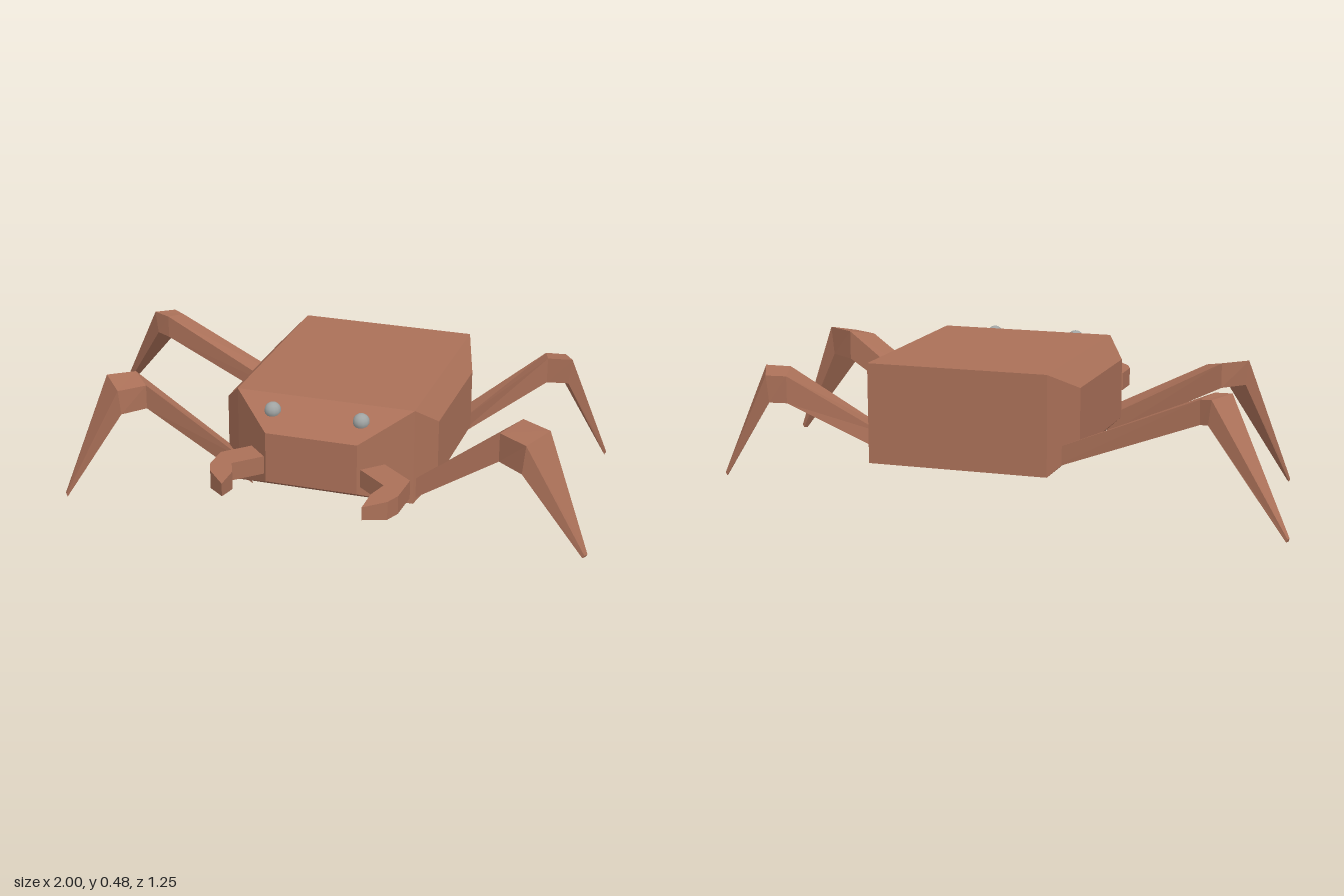
import * as THREE from 'three';
import { ConvexGeometry } from 'three/addons/geometries/ConvexGeometry.js';

const shell = new THREE.MeshStandardMaterial({ color: 0xaa7058, flatShading: true });
shell.name = 'brown shell';
const eyeGrey = new THREE.MeshStandardMaterial({ color: 0xa0a4a3 });
eyeGrey.name = 'eye grey';

function addMesh(group, name, geometry, material) {
  const mesh = new THREE.Mesh(geometry, material);
  mesh.name = name;
  group.add(mesh);
  return mesh;
}

// Box with raised, bevelled panels on the front and both sides
function bodyGeometry() {
  const pts = [];
  const add = (xs, ys, zs) => {
    for (const x of xs) for (const y of ys) for (const z of zs) pts.push(new THREE.Vector3(x, y, z));
  };
  add([-0.2, 0.41], [0.15, 0.483], [-0.51, 0.22]);
  add([-0.05, 0.262], [0.232, 0.405], [0.372]);
  add([0.467], [0.21, 0.415], [-0.325, 0.125]);
  add([-0.265], [0.21, 0.415], [-0.36, 0.14]);
  return new ConvexGeometry(pts);
}

// Loft through four-sided sections: [ax, ay, az, bx, by, bz, dropX, dropY],
// where a and b are the top corners and the drop leads to the bottom corners
function legGeometry(sections) {
  const pos = [];
  const index = [];
  for (const [ax, ay, az, bx, by, bz, dx, dy] of sections) {
    pos.push(ax, ay, az, bx, by, bz, bx + dx, by + dy, bz, ax + dx, ay + dy, az);
  }
  for (let i = 0; i < sections.length - 1; i++) {
    for (let j = 0; j < 4; j++) {
      const p = i * 4 + j;
      const q = i * 4 + ((j + 1) % 4);
      index.push(p, p + 4, q + 4, p, q + 4, q);
    }
  }
  const e = (sections.length - 1) * 4;
  index.push(e + 3, e + 2, e + 1, e + 3, e + 1, e);
  const geo = new THREE.BufferGeometry();
  geo.setAttribute('position', new THREE.Float32BufferAttribute(pos, 3));
  geo.setIndex(index);
  const flat = geo.toNonIndexed();
  flat.computeVertexNormals();
  return flat;
}

// Each leg: root, two knee sections and a pointed foot
const legs = {
  frontLeftLeg: [
    [0.39, 0.22, 0.21, 0.435, 0.22, 0.125, -0.03, -0.085],
    [0.69, 0.44, 0.21, 0.745, 0.46, 0.12, 0, -0.1],
    [0.79, 0.437, 0.275, 0.848, 0.46, 0.185, -0.01, -0.1],
    [0.992, 0.068, 0.25, 1.0, 0.07, 0.24, -0.006, -0.01],
  ],
  frontRightLeg: [
    [-0.235, 0.22, 0.14, -0.185, 0.22, 0.21, 0.03, -0.085],
    [-0.63, 0.435, 0.08, -0.565, 0.415, 0.145, 0, -0.085],
    [-0.71, 0.437, 0.145, -0.64, 0.412, 0.215, 0.01, -0.085],
    [-0.845, 0.01, 0.242, -0.838, 0.01, 0.252, 0.004, -0.01],
  ],
  backLeftLeg: [
    [0.435, 0.23, -0.325, 0.405, 0.23, -0.41, -0.02, -0.07],
    [0.705, 0.445, -0.46, 0.68, 0.43, -0.55, 0, -0.09],
    [0.79, 0.447, -0.47, 0.75, 0.43, -0.558, -0.01, -0.09],
    [0.92, 0.085, -0.53, 0.918, 0.085, -0.54, -0.006, -0.01],
  ],
  backRightLeg: [
    [-0.205, 0.23, -0.44, -0.235, 0.23, -0.365, 0.02, -0.07],
    [-0.69, 0.435, -0.5, -0.72, 0.445, -0.43, 0, -0.08],
    [-0.73, 0.44, -0.52, -0.78, 0.45, -0.45, 0.01, -0.08],
    [-0.995, 0.055, -0.632, -1.0, 0.055, -0.622, 0.004, -0.01],
  ],
};

// Flat curved pincers, outlined from above as x, z
const claws = {
  leftClaw: [[0.3, 0.27], [0.445, 0.39], [0.44, 0.51], [0.42, 0.56], [0.355, 0.622],
    [0.355, 0.525], [0.375, 0.45], [0.25, 0.345]],
  rightClaw: [[-0.1, 0.27], [-0.205, 0.375], [-0.205, 0.47], [-0.185, 0.52], [-0.115, 0.6],
    [-0.115, 0.505], [-0.14, 0.445], [-0.04, 0.345]],
};

function clawGeometry(outline) {
  const shape = new THREE.Shape(outline.map(([x, z]) => new THREE.Vector2(x, z)));
  const geo = new THREE.ExtrudeGeometry(shape, { depth: 0.062, bevelEnabled: false });
  geo.rotateX(Math.PI / 2);
  geo.translate(0, 0.317, 0);
  // Thin the underside towards the tip
  const p = geo.attributes.position;
  for (let i = 0; i < p.count; i++) {
    if (p.getZ(i) > 0.58 && p.getY(i) < 0.28) p.setY(i, 0.273);
  }
  geo.computeVertexNormals();
  return geo;
}

export function createModel() {
  const model = new THREE.Group();
  model.name = 'crab';
  addMesh(model, 'body', bodyGeometry(), shell);
  for (const [name, sections] of Object.entries(legs)) addMesh(model, name, legGeometry(sections), shell);
  for (const [name, outline] of Object.entries(claws)) addMesh(model, name, clawGeometry(outline), shell);

  // Bead eyes on the sloping brow
  for (const [name, x] of [['leftEye', 0.25], ['rightEye', -0.053]]) {
    addMesh(model, name, new THREE.SphereGeometry(0.028, 12, 8), eyeGrey).position.set(x, 0.452, 0.287);
  }
  return model;
}
